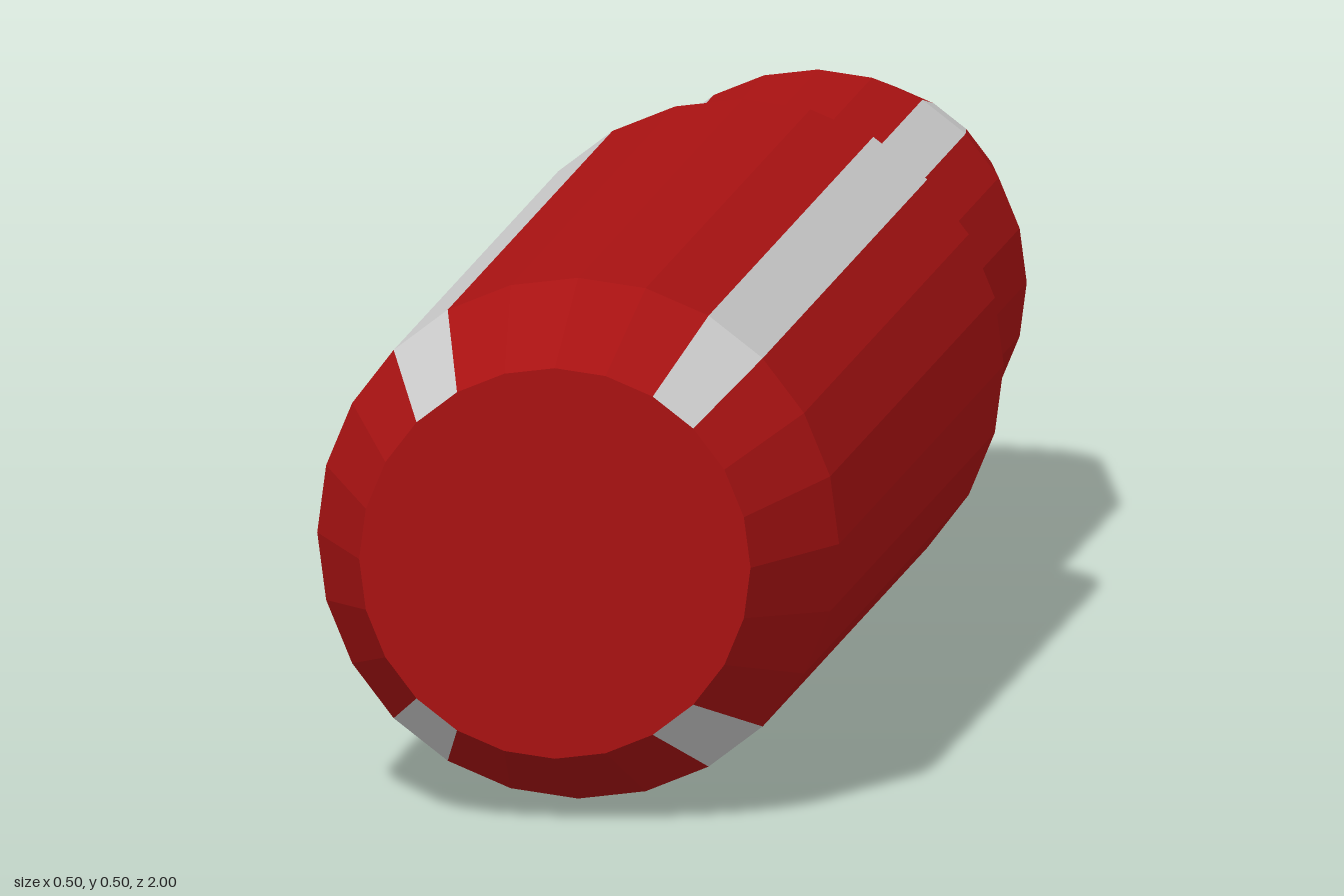
import * as THREE from 'three';

const RED = new THREE.MeshStandardMaterial({ color: 0xa81212, flatShading: true });
const GREY = new THREE.MeshStandardMaterial({ color: 0xcccccc, flatShading: true });
const STEP = 15; // degrees per facet, 24 sides

// Turn a profile of [radius, z] points about the z axis, over part of the circle
function turn(name, profile, material, from = 0, to = 360) {
  const geometry = new THREE.LatheGeometry(
    profile.map(([r, z]) => new THREE.Vector2(r, z)),
    (to - from) / STEP,
    THREE.MathUtils.degToRad(from),
    THREE.MathUtils.degToRad(to - from)
  );
  geometry.rotateX(Math.PI / 2);
  const mesh = new THREE.Mesh(geometry, material);
  mesh.name = name;
  return mesh;
}

// Red shell with four one-facet grey stripes running its whole length
function stripedShell(name, profile) {
  const group = new THREE.Group();
  group.name = name;
  for (const [from, to] of [[45, 135], [150, 210], [225, 315], [330, 390]])
    group.add(turn(name + 'Panel', profile, RED, from, to));
  for (const from of [30, 135, 210, 315])
    group.add(turn(name + 'Stripe', profile, GREY, from, from + STEP));
  return group;
}

export function createModel() {
  const model = new THREE.Group();
  model.name = 'telescopingTube';
  const body = new THREE.Group();
  body.name = 'body';
  body.position.y = 0.25;
  model.add(body);

  // Outer sleeve: rear rim, straight wall, tapered nose
  body.add(stripedShell('sleeve', [[0.23, -0.25], [0.25, -0.25], [0.25, 0.845], [0.1875, 1]]));
  body.add(turn('sleeveLining', [[0, 0.98], [0.17, 0.98], [0.23, 0.83], [0.23, -0.25]], RED));
  body.add(turn('noseCap', [[0.1875, 1], [0, 1]], RED));

  // Inner tube sliding inside the sleeve, open and tapered at the rear
  body.add(stripedShell('innerTube', [[0.134, -1], [0.15, -1], [0.2, -0.75], [0.2, 0.8]]));
  body.add(turn('innerTubeBore', [[0, 0.78], [0.184, 0.78], [0.184, -0.75], [0.134, -1]], RED));
  body.add(turn('innerTubeEnd', [[0.2, 0.8], [0, 0.8]], RED));

  return model;
}
